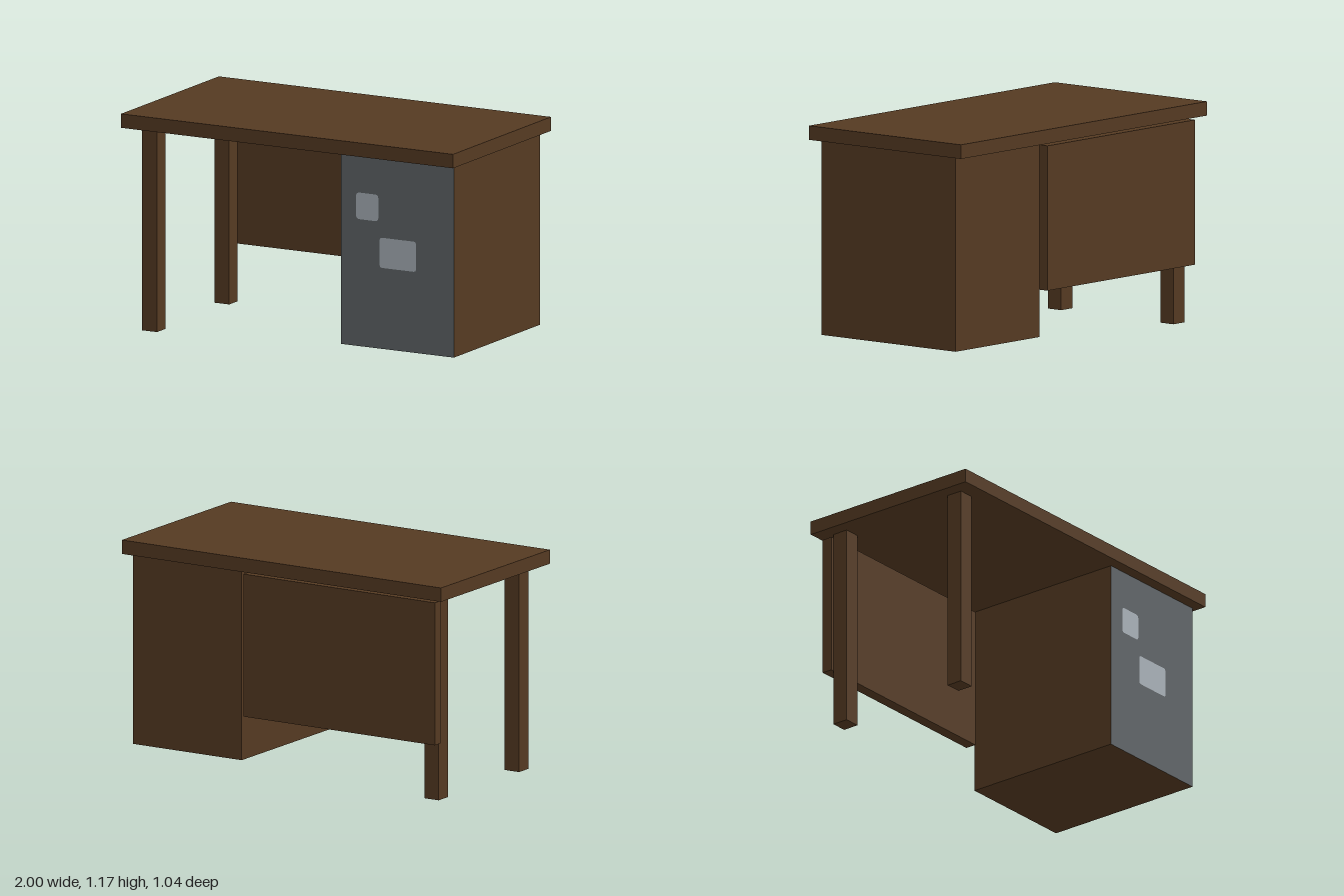
import * as THREE from 'three';

const material = (name, color) => {
  const m = new THREE.MeshStandardMaterial({ color });
  m.name = name;
  return m;
};

export function createModel() {
  const desk = new THREE.Group();
  desk.name = 'desk';
  const wood = material('dark brown wood', 0x553a22);
  const grey = material('slate grey', 0x5f6467);
  const paper = material('pale grey', 0xa9b1b8);

  // Box given by its extents on each axis
  const box = (name, [x0, x1], [y0, y1], [z0, z1], mat = wood) => {
    const mesh = new THREE.Mesh(new THREE.BoxGeometry(x1 - x0, y1 - y0, z1 - z0), mat);
    mesh.position.set((x0 + x1) / 2, (y0 + y1) / 2, (z0 + z1) / 2);
    mesh.name = name;
    desk.add(mesh);
  };

  // Top, back panel and legs
  box('tabletop', [-1, 1], [1.097, 1.172], [-0.522, 0.522]);
  box('modestyPanel', [-0.94, 0.26], [0.31, 1.078], [-0.49, -0.43]);
  box('frontLeg', [-0.925, -0.835], [0, 1.097], [0.34, 0.43]);
  box('backLeg', [-0.925, -0.835], [0, 1.097], [-0.43, -0.34]);

  // Cabinet with a grey front face
  box('cabinet', [0.29, 0.97], [0.065, 1.097], [-0.46, 0.46], [wood, wood, wood, wood, grey, wood]);

  // Pale rounded patches lying on the cabinet front
  const patch = (name, x0, x1, y0, y1, r) => {
    const s = new THREE.Shape();
    s.moveTo(x0 + r, y0);
    s.lineTo(x1 - r, y0);
    s.quadraticCurveTo(x1, y0, x1, y0 + r);
    s.lineTo(x1, y1 - r);
    s.quadraticCurveTo(x1, y1, x1 - r, y1);
    s.lineTo(x0 + r, y1);
    s.quadraticCurveTo(x0, y1, x0, y1 - r);
    s.lineTo(x0, y0 + r);
    s.quadraticCurveTo(x0, y0, x0 + r, y0);
    const mesh = new THREE.Mesh(new THREE.ShapeGeometry(s, 4), paper);
    mesh.position.z = 0.462;
    mesh.name = name;
    desk.add(mesh);
  };
  patch('upperPatch', 0.382, 0.516, 0.747, 0.89, 0.02);
  patch('lowerPatch', 0.524, 0.742, 0.5, 0.662, 0.015);

  return desk;
}
